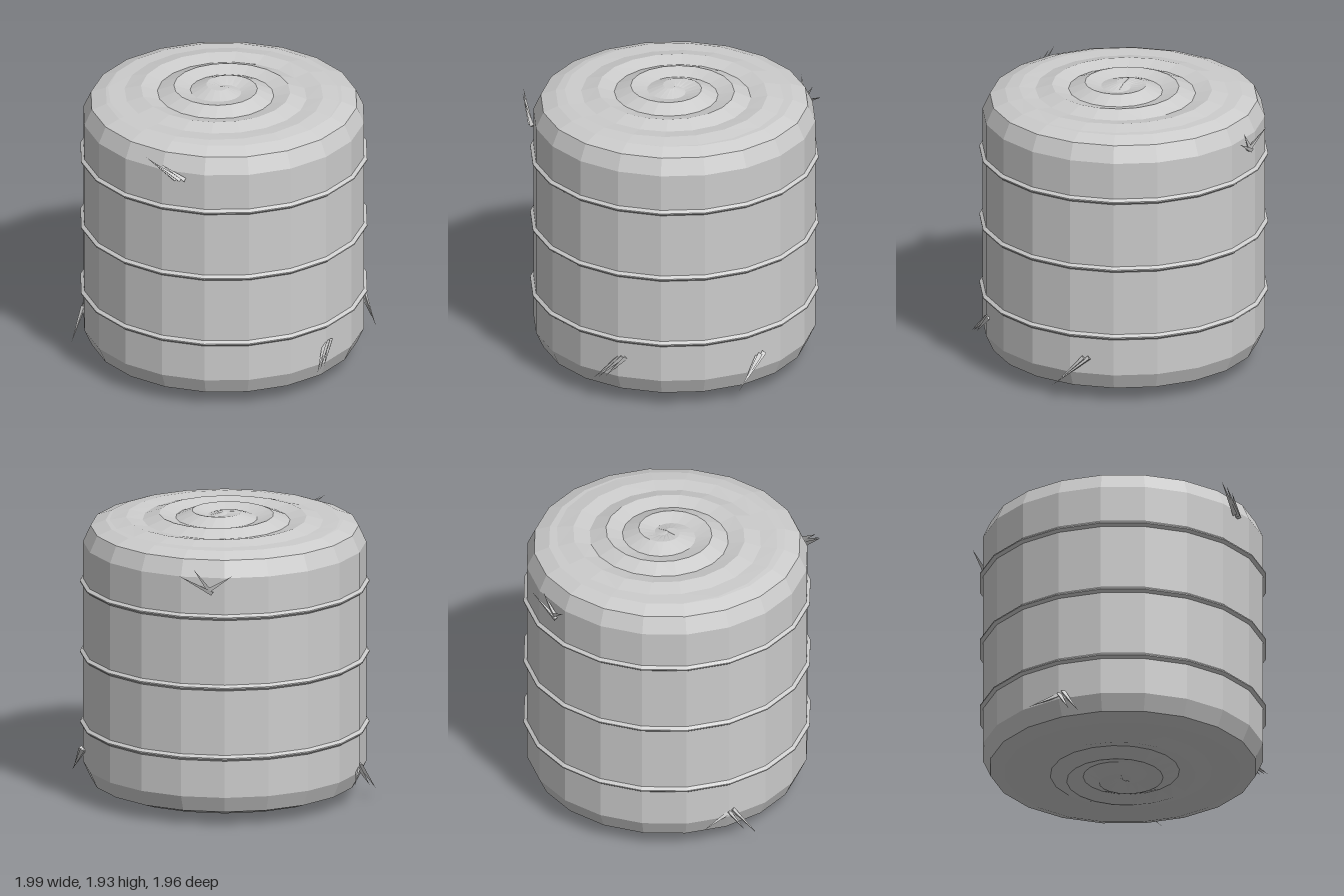
import * as THREE from 'three';

const SIDES = 20;
const HEIGHT = 1.93;
const RIM = 0.79;

// Straight-line interpolation through [x, y] pairs
function lerpTable(table, x) {
  for (let i = 1; i < table.length; i++) {
    const [x0, y0] = table[i - 1], [x1, y1] = table[i];
    if (x <= x1) return y0 + (y1 - y0) * (x - x0) / (x1 - x0);
  }
  return table[table.length - 1][1];
}

const ridgeHeight = [[0, 1.925], [0.17, 1.93], [0.36, 1.914], [0.61, 1.892], [RIM, 1.867]];
const grooveDepth = [[0, 0], [0.1, 0.03], [0.25, 0.04], [0.5, 0.035], [0.66, 0.015], [RIM, 0]];

// Rolled end: a spiral of alternating valleys and ridges, one pitch per turn
function spiralCap(top) {
  const positions = [], index = [];
  const first = -3, last = 8, row = SIDES + 1;
  for (let k = first; k <= last; k++) {
    for (let j = 0; j <= SIDES; j++) {
      const f = j / SIDES, a = f * Math.PI * 2;
      const r = THREE.MathUtils.clamp(0.06 + 0.11 * k + 0.22 * f, 0, RIM);
      let y = lerpTable(ridgeHeight, r);
      if (k % 2 === 0) y -= lerpTable(grooveDepth, r);
      positions.push(r * Math.sin(a), top ? y : HEIGHT - y, -r * Math.cos(a));
    }
  }
  for (let k = 0; k < last - first; k++) {
    for (let j = 0; j < SIDES; j++) {
      const a = k * row + j, b = a + 1, c = a + row, d = c + 1;
      if (top) index.push(a, b, c, b, d, c);
      else index.push(a, c, b, b, c, d);
    }
  }
  const geo = new THREE.BufferGeometry();
  geo.setAttribute('position', new THREE.Float32BufferAttribute(positions, 3));
  geo.setIndex(index);
  geo.computeVertexNormals();
  return geo;
}

function lathe(points) {
  return new THREE.LatheGeometry(points.map(([r, y]) => new THREE.Vector2(r, y)), SIDES);
}

// Thin three-sided spike from base to tip
function straw(base, tip, radius) {
  const a = new THREE.Vector3(...base), dir = new THREE.Vector3(...tip).sub(a);
  const length = dir.length();
  const geo = new THREE.ConeGeometry(radius, length, 3);
  geo.translate(0, length / 2, 0);
  geo.applyQuaternion(new THREE.Quaternion().setFromUnitVectors(new THREE.Vector3(0, 1, 0), dir.normalize()));
  return geo.translate(...base);
}

export function createModel() {
  const hay = new THREE.MeshStandardMaterial({ color: 0xcccccc, flatShading: true });
  hay.name = 'hayGrey';

  const model = new THREE.Group();
  model.name = 'roundHayBale';
  const add = (parent, name, geo) => {
    const mesh = new THREE.Mesh(geo, hay);
    mesh.name = name;
    parent.add(mesh);
  };

  // Rolled body, ends and binding bands
  const roll = new THREE.Group();
  roll.name = 'roll';
  roll.position.set(-0.004, 0, 0.022);
  model.add(roll);
  const upper = [[0.94, 1.72], [0.89, 1.83], [RIM, 1.867]];
  const lower = upper.map(([r, y]) => [r, HEIGHT - y]).reverse();
  add(roll, 'body', lathe([...lower, ...upper]));
  add(roll, 'topSpiral', spiralCap(true));
  add(roll, 'bottomSpiral', spiralCap(false));
  for (const y of [0.482, 0.965, 1.449]) {
    add(roll, 'bindingBand', lathe([[0.935, y - 0.024], [0.961, y - 0.004], [0.961, y + 0.004], [0.935, y + 0.024]]));
  }

  // Loose straw tufts: pairs of base and tip
  const tufts = {
    frontStraw: [
      [[-0.20, 1.67, 0.955], [-0.40, 1.83, 0.96]],
      [[-0.17, 1.67, 0.96], [-0.36, 1.81, 0.975]],
      [[-0.14, 1.67, 0.955], [-0.29, 1.79, 0.98]],
    ],
    frontLeftStraw: [
      [[0.75, 0.35, 0.57], [0.72, 0.20, 0.73]],
      [[0.77, 0.36, 0.55], [0.735, 0.21, 0.70]],
      [[0.785, 0.36, 0.53], [0.755, 0.22, 0.66]],
    ],
    leftStraw: [
      [[0.85, 0.33, -0.40], [0.99, 0.12, -0.19]],
      [[0.87, 0.33, -0.37], [0.97, 0.15, -0.22]],
      [[0.86, 0.31, -0.35], [0.95, 0.17, -0.24]],
    ],
    rightStraw: [
      [[-0.94, 0.26, 0.05], [-1.0, 0.06, 0.20]],
      [[-0.94, 0.25, 0.02], [-0.985, 0.10, 0.12]],
      [[-0.935, 0.24, 0.02], [-0.98, 0.18, -0.18]],
    ],
    backStraw: [
      [[-0.22, 1.62, -0.905], [-0.01, 1.74, -0.98]],
      [[-0.20, 1.64, -0.905], [-0.10, 1.78, -0.94]],
      [[-0.18, 1.63, -0.905], [-0.36, 1.75, -0.92]],
    ],
  };
  for (const [name, spikes] of Object.entries(tufts)) {
    const tuft = new THREE.Group();
    tuft.name = name;
    for (const [base, tip] of spikes) add(tuft, name + 'Blade', straw(base, tip, 0.018));
    model.add(tuft);
  }
  return model;
}
